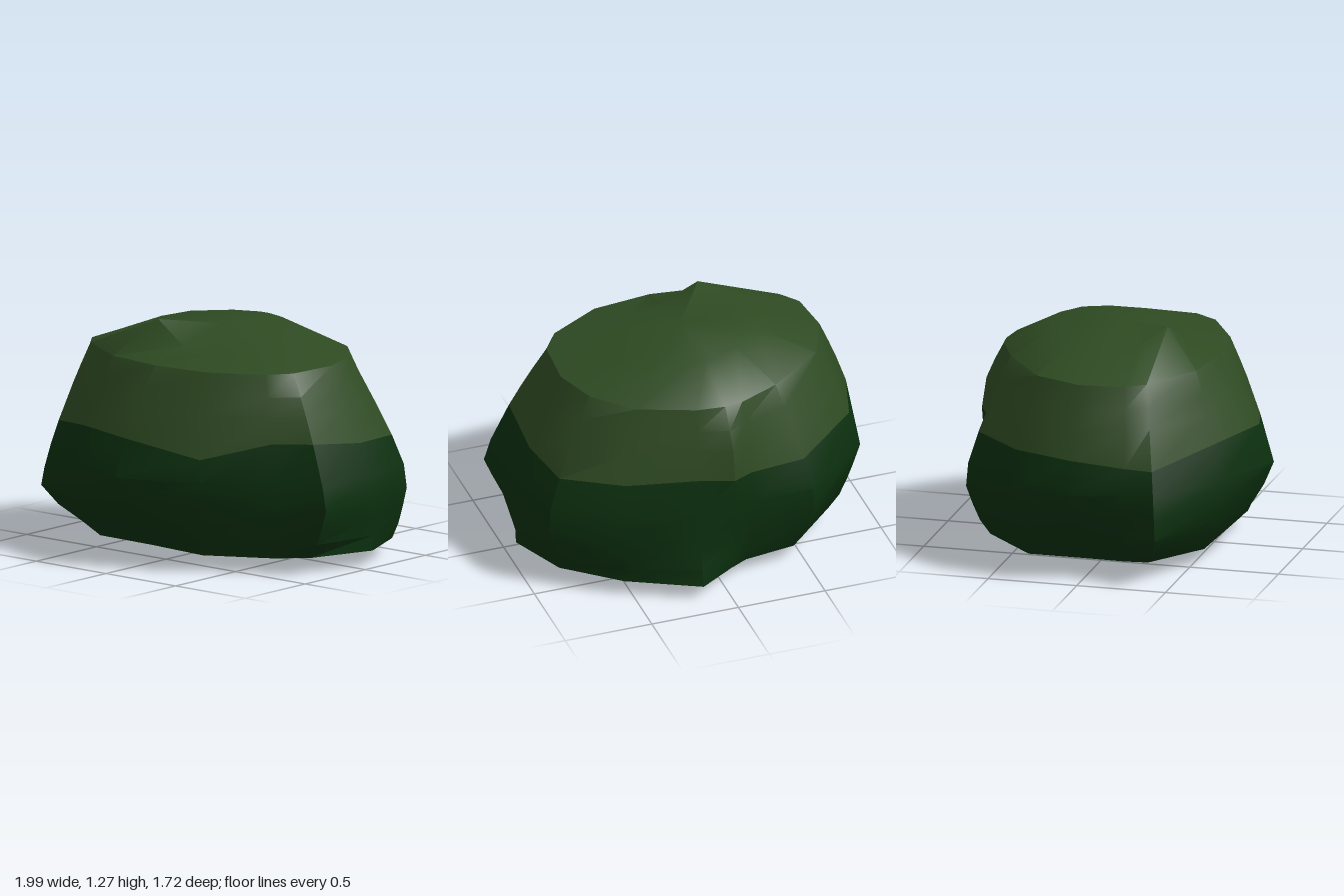
import * as THREE from 'three';
import { toCreasedNormals } from 'three/addons/utils/BufferGeometryUtils.js';

const { degToRad, lerp } = THREE.MathUtils;

const lightLeaf = new THREE.MeshStandardMaterial({ color: 0x2e4a22 });
const darkLeaf = new THREE.MeshStandardMaterial({ color: 0x0b2f0e });
lightLeaf.name = 'light leaf green';
darkLeaf.name = 'dark leaf green';

const BASE_Y = 0.085;
const SHOULDER_Y = 1.08;

// corners of the crown: degrees from +x towards +z,
// radius at base, belly and shoulder, height of the belly
const CORNERS = [
  [-6, 0.97, 0.98, 0.70, 0.37], [18, 0.88, 1.05, 0.71, 0.37], [31, 0.80, 0.83, 0.68, 0.45],
  [60, 0.69, 0.80, 0.59, 0.45], [94, 0.57, 0.86, 0.55, 0.48], [127, 0.70, 0.86, 0.63, 0.45],
  [156, 0.82, 1.05, 0.77, 0.27], [165, 0.79, 0.95, 0.81, 0.50], [183, 0.76, 1.00, 0.81, 0.52],
  [204, 0.83, 1.00, 0.76, 0.50], [235, 0.78, 0.93, 0.66, 0.40], [257, 0.70, 0.78, 0.66, 0.50],
  [266, 0.74, 0.80, 0.66, 0.75], [280, 0.88, 0.80, 0.65, 0.37], [309, 0.86, 0.91, 0.67, 0.40],
  [333, 0.93, 1.02, 0.69, 0.41],
];

// wavy line where the dark skirt meets the light top, strongest at the front
const edgeHeight = (a) => 0.68 + 0.06 * (0.55 + 0.45 * Math.sin(a)) * Math.cos(4 * (a - 0.35));

// crest slopes down to the front and +x and has one peak at the front
const crestHeight = (a) =>
  1.18 - 0.02 * Math.cos(a) - 0.04 * Math.sin(a) + 0.112 * Math.max(0, Math.cos(a - degToRad(127))) ** 12;

// swells from base to belly, then closes in to the shoulder
function radiusAt(y, base, belly, shoulder, bellyY) {
  if (y <= bellyY) return lerp(base, belly, ((y - BASE_Y) / (bellyY - BASE_Y)) ** 0.7);
  if (y <= SHOULDER_Y) return lerp(belly, shoulder, ((y - bellyY) / (SHOULDER_Y - bellyY)) ** 1.3);
  return shoulder * 0.6;
}

// heights of the rings, fixed or by angle
const RINGS = [BASE_Y, 0.17, 0.27, 0.37, 0.5, edgeHeight, 0.85, 0.96, SHOULDER_Y, crestHeight];
const EDGE_RING = RINGS.indexOf(edgeHeight);

function crownGeometry() {
  const n = CORNERS.length;
  const positions = [];
  const index = [];
  for (const height of RINGS) {
    for (const [deg, ...profile] of CORNERS) {
      const a = degToRad(deg);
      const y = typeof height === 'function' ? height(a) : height;
      const r = radiusAt(y, ...profile);
      positions.push(r * Math.cos(a), y, r * Math.sin(a));
    }
  }
  const bottom = RINGS.length * n;
  const top = bottom + 1;
  const crest = bottom - n;
  positions.push(0, BASE_Y, 0, -0.02, 1.23, 0);

  // flat underside
  for (let i = 0; i < n; i++) index.push(bottom, i, (i + 1) % n);
  // walls
  for (let k = 0; k < RINGS.length - 1; k++) {
    for (let i = 0; i < n; i++) {
      const a = k * n + i;
      const b = k * n + (i + 1) % n;
      index.push(a, a + n, b, b, a + n, b + n);
    }
  }
  // crest
  for (let i = 0; i < n; i++) index.push(top, crest + (i + 1) % n, crest + i);

  const geometry = new THREE.BufferGeometry();
  geometry.setAttribute('position', new THREE.Float32BufferAttribute(positions, 3));
  geometry.setIndex(index);
  // underside and skirt are dark, the rest is light
  const split = n * 3 + EDGE_RING * n * 6;
  geometry.addGroup(0, split, 0);
  geometry.addGroup(split, index.length - split, 1);
  return toCreasedNormals(geometry, degToRad(38));
}

export function createModel() {
  const bush = new THREE.Group();
  bush.name = 'bush';

  const crown = new THREE.Mesh(crownGeometry(), [darkLeaf, lightLeaf]);
  crown.name = 'crown';
  bush.add(crown);

  // short square stem under the crown
  const stem = new THREE.Mesh(new THREE.BoxGeometry(0.1, 0.12, 0.11), darkLeaf);
  stem.name = 'stem';
  stem.position.set(-0.135, 0.06, 0.005);
  bush.add(stem);

  return bush;
}
